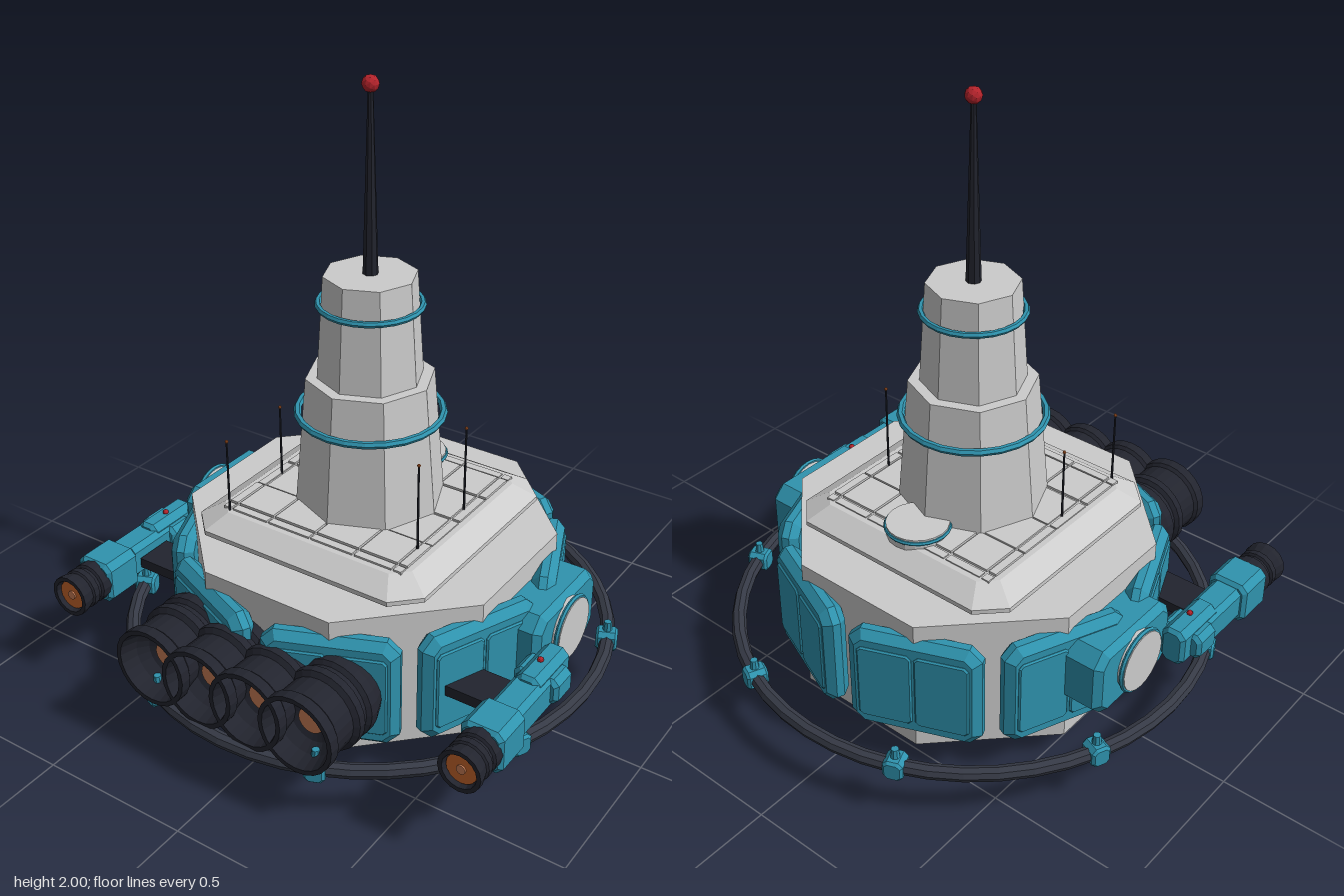
import * as THREE from 'three';

const mat = (color) => new THREE.MeshStandardMaterial({ color, flatShading: true, side: THREE.DoubleSide });
const M = {
  grey: mat(0xcccccc), teal: mat(0x2f93ae), dark: mat(0x22242e), hoop: mat(0x363a46),
  orange: mat(0xc8662c), glow: mat(0xcc8058), red: mat(0xb3232b),
};

function add(parent, name, geo, material, x = 0, y = 0, z = 0) {
  const m = new THREE.Mesh(geo, material);
  m.name = name;
  m.position.set(x, y, z);
  parent.add(m);
  return m;
}

// Block with cut corners (c) in the XY outline and a one-step bevel (b) on front and back, centred
function block(w, h, d, c, b) {
  const x = w / 2 - b, y = h / 2 - b, k = Math.max(c, 0.002);
  const s = new THREE.Shape([[x - k, -y], [x, -y + k], [x, y - k], [x - k, y], [-x + k, y], [-x, y - k], [-x, -y + k], [-x + k, -y]]
    .map(([px, py]) => new THREE.Vector2(px, py)));
  const g = new THREE.ExtrudeGeometry(s, { depth: d - 2 * b, bevelEnabled: b > 0, bevelSize: b, bevelThickness: b, bevelSegments: 1 });
  return g.translate(0, 0, -d / 2 + b);
}

// Octagonal slab with sloping sides between two half-widths, lying flat
function slab(r0, c0, r1, c1, y0, y1) {
  const ring = (r, c, y) => [[r - c, r], [r, r - c], [r, c - r], [r - c, -r], [c - r, -r], [-r, c - r], [-r, r - c], [c - r, r]].flatMap(([x, z]) => [x, y, z]);
  const pos = [...ring(r0, c0, y0), ...ring(r1, c1, y1)], idx = [];
  for (let i = 0; i < 8; i++) {
    const j = (i + 1) % 8;
    idx.push(i, j, 8 + j, i, 8 + j, 8 + i);
    if (i > 0 && i < 7) idx.push(8, 8 + i, 8 + j, 0, j, i);
  }
  const g = new THREE.BufferGeometry();
  g.setAttribute('position', new THREE.Float32BufferAttribute(pos, 3));
  g.setIndex(idx);
  const flat = g.toNonIndexed();
  flat.computeVertexNormals();
  return flat;
}

// Grid of thin cover tiles with narrow seams
function tiles(parent, name, lines, y) {
  for (let i = 0; i < lines.length - 1; i++) {
    for (let j = 0; j < lines.length - 1; j++) {
      const w = lines[i + 1] - lines[i] - 0.008, d = lines[j + 1] - lines[j] - 0.008;
      const t = 0.012 + 0.004 * ((i * 3 + j * 5) % 3);
      add(parent, name, new THREE.BoxGeometry(w, t, d), M.grey, (lines[i] + lines[i + 1]) / 2, y, (lines[j] + lines[j + 1]) / 2);
    }
  }
}

function hull(root) {
  const g = new THREE.Group();
  g.name = 'hull';
  root.add(g);
  const R = 0.555 / Math.cos(Math.PI / 8);
  add(g, 'body', new THREE.CylinderGeometry(R, R, 0.47, 8).rotateY(Math.PI / 8), M.grey, 0, 0.33, 0);

  // Stepped deck and belly plates
  add(g, 'deckSkirt', slab(0.39, 0.07, 0.39, 0.07, 0.56, 0.59), M.grey);
  add(g, 'deckEdge', slab(0.42, 0.08, 0.42, 0.08, 0.585, 0.6), M.grey);
  add(g, 'deckPlate', slab(0.42, 0.08, 0.35, 0.05, 0.6, 0.645), M.grey);
  tiles(g, 'deckTile', [-0.335, -0.3, -0.16, 0, 0.16, 0.3, 0.335], 0.643);
  add(g, 'bellyEdge', slab(0.36, 0.07, 0.36, 0.07, 0.075, 0.1), M.grey);
  add(g, 'bellyPlate', slab(0.3, 0.05, 0.355, 0.07, 0.045, 0.075), M.grey);
  tiles(g, 'bellyTile', [-0.28, -0.14, 0, 0.14, 0.28], 0.045);

  // Round hatches above and below
  for (const [y, s] of [[0.665, 1], [0.012, -1]]) {
    add(g, 'hatch', new THREE.CylinderGeometry(0.1, 0.1, 0.04, 20), M.grey, 0, y - s * 0.008, -0.27);
    add(g, 'hatchRim', new THREE.TorusGeometry(0.1, 0.007, 6, 24).rotateX(Math.PI / 2), M.teal, 0, y, -0.27);
  }

  // Armour panels around the hull corners
  for (let i = 0; i < 8; i++) {
    const holder = new THREE.Group();
    holder.name = 'armourPanel';
    holder.rotation.y = Math.PI / 8 + i * Math.PI / 4;
    g.add(holder);
    add(holder, 'panelPlate', block(0.42, 0.37, 0.075, 0.025, 0.025), M.teal, 0, 0.328, 0.578);
    for (const x of [-0.09, 0.09]) add(holder, 'panelRelief', block(0.172, 0.27, 0.02, 0.01, 0.005), M.teal, x, 0.328, 0.612);
  }
}

function tower(root) {
  const g = new THREE.Group();
  g.name = 'tower';
  root.add(g);
  add(g, 'lowerTower', new THREE.CylinderGeometry(0.203, 0.24, 0.43, 8), M.grey, 0, 0.855, 0);
  add(g, 'upperTower', new THREE.CylinderGeometry(0.145, 0.167, 0.335, 8), M.grey, 0, 1.235, 0);
  add(g, 'lowerTowerRing', new THREE.TorusGeometry(0.228, 0.012, 6, 24).rotateX(Math.PI / 2), M.teal, 0, 0.945, 0);
  add(g, 'upperTowerRing', new THREE.TorusGeometry(0.159, 0.01, 6, 24).rotateX(Math.PI / 2), M.teal, 0, 1.307, 0);
  add(g, 'mast', new THREE.CylinderGeometry(0.008, 0.024, 0.57, 8), M.dark, 0, 1.685, 0);
  add(g, 'mastLight', new THREE.IcosahedronGeometry(0.026, 1), M.red, 0, 1.974, 0);
  // Whip antennas on the deck
  for (const [x, z, top] of [[0.305, -0.07, 0.94], [0.305, 0.2, 0.94], [-0.305, 0.065, 0.89], [-0.305, 0.335, 0.89]]) {
    add(g, 'antenna', new THREE.CylinderGeometry(0.003, 0.004, top - 0.63, 6), M.dark, x, (top + 0.63) / 2, z);
    add(g, 'antennaTip', new THREE.IcosahedronGeometry(0.006, 0), M.orange, x, top, z);
  }
}

// Thruster bell opening along +z; profile pairs are radius, z
function bell(parent, name, profile, segments, x, y) {
  const geo = new THREE.LatheGeometry(profile.map(([r, z]) => new THREE.Vector2(r, z)), segments).rotateX(Math.PI / 2);
  return add(parent, name, geo, M.dark, x, y, 0);
}

function mainThrusters(root) {
  const g = new THREE.Group();
  g.name = 'mainThrusters';
  root.add(g);
  for (const x of [-0.27, -0.09, 0.09, 0.27]) {
    bell(g, 'thrusterBell', [[0.001, 0.5], [0.11, 0.5], [0.135, 0.56], [0.135, 0.59], [0.122, 0.6], [0.122, 0.615], [0.135, 0.625],
      [0.135, 0.65], [0.118, 0.66], [0.12, 0.74], [0.13, 0.75], [0.13, 0.785], [0.115, 0.785], [0.1, 0.73], [0.075, 0.7], [0.05, 0.69], [0.001, 0.69]], 24, x, 0.33);
    add(g, 'thrusterGlow', new THREE.CylinderGeometry(0.043, 0.043, 0.02, 20).rotateX(Math.PI / 2), M.glow, x, 0.33, 0.695);
  }
}

function sideUnit(root, s) {
  const g = new THREE.Group();
  g.name = s > 0 ? 'leftSideUnit' : 'rightSideUnit';
  root.add(g);
  // Pod with a round cover
  add(g, 'pod', block(0.385, 0.24, 0.17, 0.03, 0.022).rotateY(Math.PI / 2), M.teal, s * 0.605, 0.365, -0.063);
  add(g, 'podCover', new THREE.CylinderGeometry(0.1, 0.1, 0.04, 20).rotateZ(Math.PI / 2), M.grey, s * 0.695, 0.37, -0.06);
  add(g, 'podCoverRim', new THREE.TorusGeometry(0.101, 0.008, 6, 24).rotateY(Math.PI / 2), M.teal, s * 0.705, 0.37, -0.06);

  // Thruster arm and its strut
  add(g, 'strut', new THREE.BoxGeometry(0.16, 0.035, 0.13), M.dark, s * 0.59, 0.33, 0.31);
  add(g, 'armRoot', block(0.085, 0.13, 0.2, 0.015, 0.012), M.teal, s * 0.73, 0.34, 0.175);
  add(g, 'armCollar', block(0.15, 0.09, 0.1, 0.012, 0.012), M.teal, s * 0.73, 0.335, 0.17);
  add(g, 'armBeam', block(0.105, 0.115, 0.24, 0.012, 0.01), M.teal, s * 0.73, 0.33, 0.32);
  add(g, 'armHead', block(0.14, 0.145, 0.14, 0.015, 0.012), M.teal, s * 0.73, 0.328, 0.465);
  add(g, 'armLight', new THREE.IcosahedronGeometry(0.01, 1), M.red, s * 0.725, 0.408, 0.18);
  bell(g, 'armNozzle', [[0.001, 0.52], [0.068, 0.52], [0.068, 0.56], [0.06, 0.565], [0.06, 0.575], [0.068, 0.58],
    [0.068, 0.6], [0.062, 0.605], [0.07, 0.63], [0.07, 0.65], [0.056, 0.65], [0.05, 0.62], [0.001, 0.62]], 16, s * 0.73, 0.33);
  add(g, 'armGlow', new THREE.CylinderGeometry(0.05, 0.05, 0.012, 16).rotateX(Math.PI / 2), M.orange, s * 0.73, 0.33, 0.63);
  add(g, 'armGlowCore', new THREE.CylinderGeometry(0.015, 0.015, 0.01, 12).rotateX(Math.PI / 2), M.glow, s * 0.73, 0.33, 0.636);
}

function hoop(root) {
  const g = new THREE.Group();
  g.name = 'guardHoop';
  root.add(g);
  add(g, 'hoopTube', new THREE.TorusGeometry(0.785, 0.024, 8, 48).rotateX(Math.PI / 2), M.hoop, 0, 0.187, 0);
  for (let i = 0; i < 8; i++) {
    const holder = new THREE.Group();
    holder.name = 'hoopClamp';
    holder.rotation.y = Math.PI / 8 + i * Math.PI / 4;
    g.add(holder);
    add(holder, 'clampBlock', block(0.065, 0.07, 0.07, 0.01, 0.008), M.teal, 0, 0.187, 0.782);
    add(holder, 'clampBolt', new THREE.CylinderGeometry(0.012, 0.016, 0.035, 8), M.teal, 0, 0.235, 0.782);
  }
}

export function createModel() {
  const root = new THREE.Group();
  root.name = 'spaceStation';
  hull(root);
  tower(root);
  mainThrusters(root);
  for (const s of [1, -1]) sideUnit(root, s);
  hoop(root);
  return root;
}
